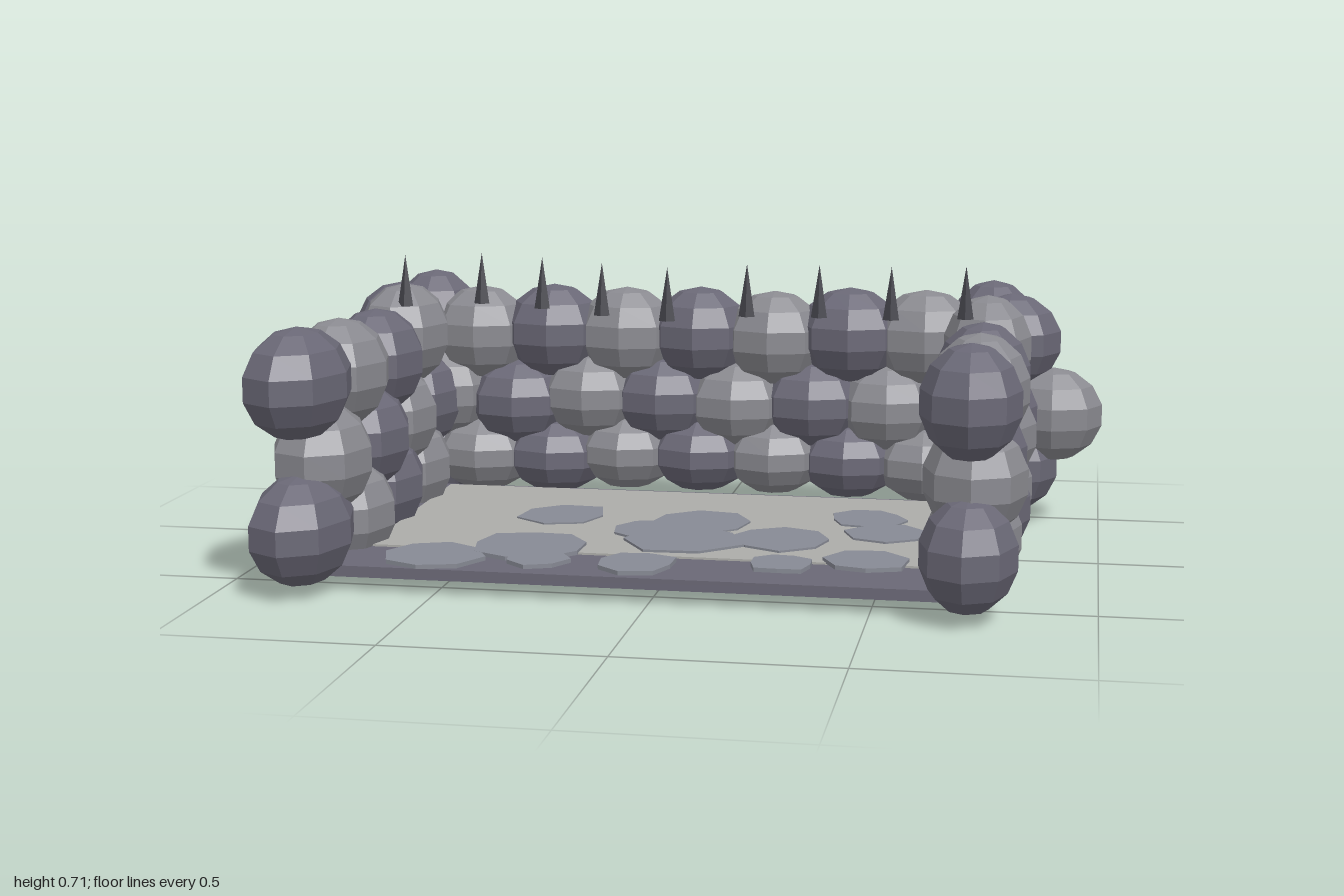
import * as THREE from 'three';

const material = (color) => new THREE.MeshStandardMaterial({ color, flatShading: true });

export function createModel() {
  const model = new THREE.Group();
  model.name = 'stoneEnclosure';
  const darkStone = material(0x6a6876);
  const lightStone = material(0x8a8a90);
  const paving = material(0xacaca9);
  const patchMat = material(0x878a94);
  const spikeMat = material(0x45454c);

  // Small seeded generator for slight irregularity
  let seed = 7;
  const jitter = (amount) => {
    seed = (seed * 16807) % 2147483647;
    return (seed / 2147483647 - 0.5) * 2 * amount;
  };

  const add = (parent, name, geometry, mat, x, y, z) => {
    const mesh = new THREE.Mesh(geometry, mat);
    mesh.name = name;
    mesh.position.set(x, y, z);
    parent.add(mesh);
    return mesh;
  };
  const group = (name) => {
    const g = new THREE.Group();
    g.name = name;
    model.add(g);
    return g;
  };

  // Faceted boulder shared by all walls
  const boulder = new THREE.SphereGeometry(1, 8, 7);
  const stone = (parent, dark, x, y, z, rx, ry, rz) => {
    const m = add(parent, 'stone', boulder, dark ? darkStone : lightStone, x, y, z);
    m.scale.set(rx, ry, rz);
    m.rotation.y = jitter(0.06);
  };

  // Floor slab and its lighter paving, leaving a dark strip at the front
  add(model, 'floorSlab', new THREE.BoxGeometry(1.44, 0.026, 0.95), darkStone, -0.04, 0.047, 0.095);
  add(model, 'paving', new THREE.BoxGeometry(1.36, 0.006, 0.72), paving, -0.04, 0.062, 0.01);

  // Irregular flat patches: x, z, radius
  const patches = group('floorPatches');
  [
    [-0.33, -0.02, 0.12], [0.03, 0.01, 0.13], [0.43, -0.1, 0.1], [0.49, 0.06, 0.1],
    [0.25, 0.16, 0.13], [-0.07, 0.12, 0.11], [0.02, 0.2, 0.15], [-0.53, 0.46, 0.13],
    [-0.33, 0.33, 0.14], [-0.28, 0.46, 0.08], [-0.05, 0.46, 0.1], [0.28, 0.41, 0.08],
    [0.47, 0.36, 0.1],
  ].forEach(([x, z, r], i) => {
    const outline = [];
    const sides = 7 + (i % 3);
    for (let k = 0; k < sides; k++) {
      const a = (k / sides) * Math.PI * 2 + i;
      const d = r * (0.95 + jitter(0.12));
      outline.push(new THREE.Vector2(Math.cos(a) * d, Math.sin(a) * d));
    }
    const geo = new THREE.ExtrudeGeometry(new THREE.Shape(outline), { depth: 0.01, bevelEnabled: false });
    geo.rotateX(-Math.PI / 2);
    add(patches, 'patch', geo, patchMat, x, 0.059 + i * 0.0003, z);
  });

  // Back wall: three courses, the middle one offset by half a stone
  const backWall = group('backWall');
  [[0.15, 0.1], [0.3, 0.115], [0.48, 0.125]].forEach(([y, ry], row) => {
    const middle = row === 1;
    for (let i = 0; i < 9; i++) {
      let x = (middle ? -0.74 : -0.84) + i * 0.198;
      if (i === 0 && !middle) x = -0.865;
      if (i === 8) x = middle ? 0.875 : 0.765;
      const dark = middle ? i % 2 === 1 : i % 2 === 0;
      const end = i === 0 || i === 8;
      stone(backWall, dark, x, y + jitter(0.012), -0.42,
        (end ? 0.128 : 0.135) + jitter(0.005), end ? 0.122 : ry, 0.122 + jitter(0.01));
    }
  });

  // Side walls: courses listed as y, z
  const sideCourses = [
    [[0.145, 0.58], [0.13, 0.31], [0.145, 0.05], [0.14, -0.21], [0.135, -0.48]],
    [[0.29, 0.46], [0.29, 0.18], [0.3, -0.07], [0.3, -0.33], [0.3, -0.63]],
    [[0.485, 0.585], [0.47, 0.31], [0.46, 0.05], [0.495, -0.2], [0.5, -0.49]],
  ];
  for (const [name, cx] of [['leftWall', 0.72], ['rightWall', -0.795]]) {
    const wall = group(name);
    sideCourses.forEach((course, row) => {
      course.forEach(([y, z], i) => {
        const dark = row === 1 ? i % 2 === 1 : i % 2 === 0;
        const front = i === 0 && row !== 1;
        const rz = front ? (cx < 0 ? 0.175 : 0.15) : i === 4 ? 0.137 : 0.155;
        stone(wall, dark, cx + (front && cx < 0 ? -0.015 : 0) + jitter(0.006), y, z,
          0.117 + jitter(0.006), 0.13, rz);
      });
    });
  }

  // Row of upright spikes hovering above the enclosure
  const spikes = group('spikes');
  const cone = new THREE.ConeGeometry(0.021, 0.13, 5);
  [-0.11, -0.195, -0.12, -0.01, 0.065, -0.05, -0.06, -0.045, -0.09].forEach((z, i) => {
    add(spikes, 'spike', cone, spikeMat, -0.76 + i * 0.178, 0.643, z);
  });

  return model;
}
